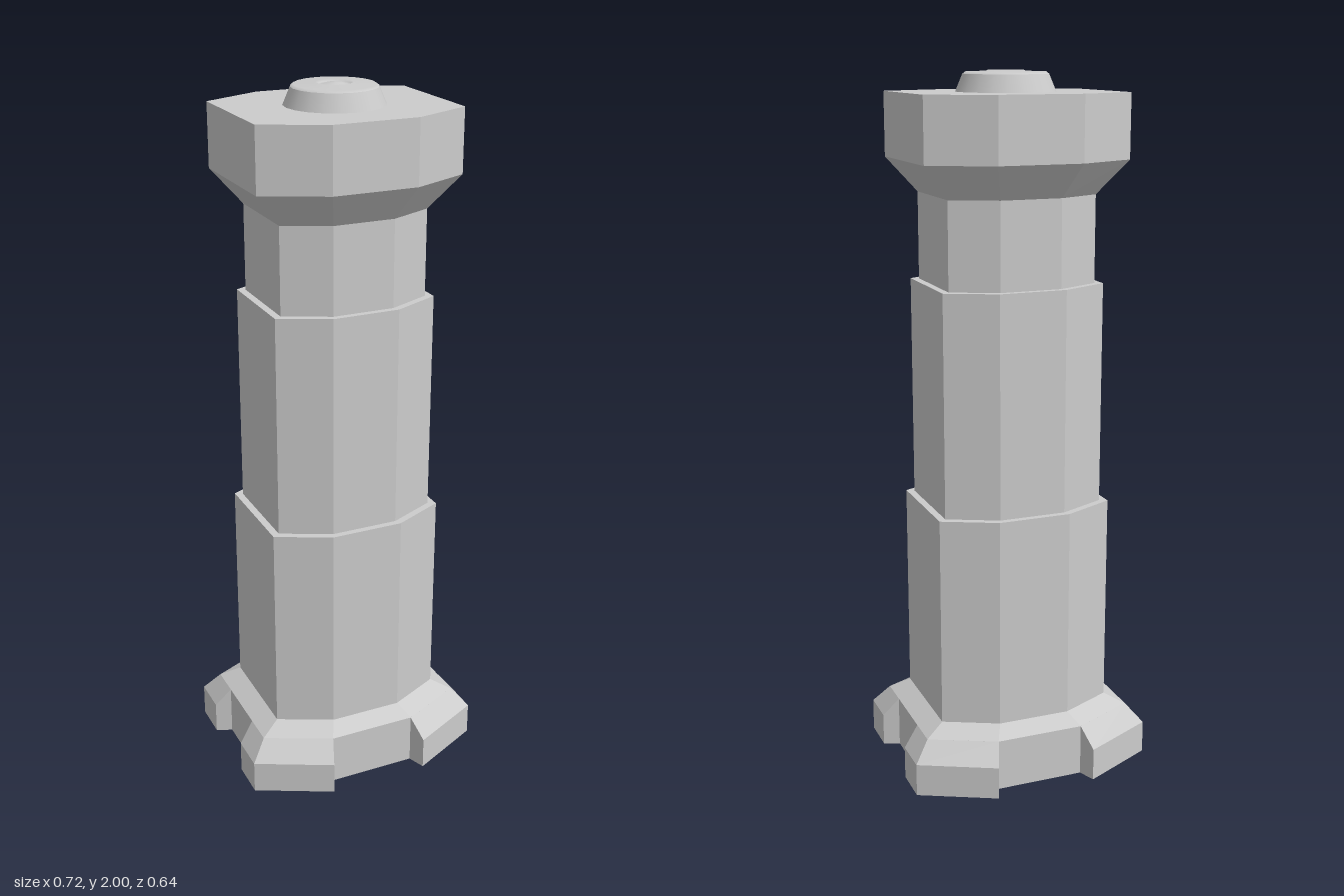
import * as THREE from 'three';

const material = new THREE.MeshStandardMaterial({ color: 0xcccccc, flatShading: true });
const smooth = new THREE.MeshStandardMaterial({ color: 0xcccccc });

// Elongated octagon of half width hx and half depth hz, counter-clockwise from above
function octagon(hx, hz) {
  const cx = hx * 0.41, cz = hz * 0.68;
  return [[-cx, hz], [cx, hz], [hx, cz], [hx, -cz], [cx, -hz], [-cx, -hz], [-hx, -cz], [-hx, cz]];
}

// Closed, faceted solid through rings of [x, z] points at given heights
function loft(name, sections) {
  const pos = [];
  const rings = sections.map(([y, pts]) => pts.map(([x, z]) => new THREE.Vector3(x, y, z)));
  const tri = (a, b, c) => {
    const area = b.clone().sub(a).cross(c.clone().sub(a)).length();
    if (area > 1e-9) pos.push(...a.toArray(), ...b.toArray(), ...c.toArray());
  };
  const n = rings[0].length;
  for (let r = 0; r < rings.length - 1; r++) {
    for (let i = 0; i < n; i++) {
      const j = (i + 1) % n, lo = rings[r], hi = rings[r + 1];
      tri(lo[i], lo[j], hi[j]);
      tri(lo[i], hi[j], hi[i]);
    }
  }
  const bottom = rings[0], top = rings[rings.length - 1];
  for (let i = 1; i < n - 1; i++) {
    tri(bottom[0], bottom[i + 1], bottom[i]);
    tri(top[0], top[i], top[i + 1]);
  }
  const geo = new THREE.BufferGeometry();
  geo.setAttribute('position', new THREE.Float32BufferAttribute(pos, 3));
  geo.computeVertexNormals();
  const mesh = new THREE.Mesh(geo, material);
  mesh.name = name;
  return mesh;
}

// Corner foot of the base, mirrored into the quadrant given by the signs
function foot(sx, sz) {
  const C = [0.313, 0.185], A = [0.128, 0.272], P = [0.147, 0.322];
  const Q = [0.358, 0.219], R = [0.358, 0.109], S = [0.313, 0.091];
  const place = ([c, ...rest]) => {
    if (sx * sz < 0) rest.reverse();
    return [c, ...rest].map(([x, z]) => [x * sx, z * sz]);
  };
  const plan = place([C, A, P, Q, R, S]);
  return loft('baseFoot', [[0, plan], [0.095, plan], [0.15, place([C, A, A, C, S, S])]]);
}

export function createModel() {
  const model = new THREE.Group();

  // Notched base: octagonal core and four corner feet
  const base = new THREE.Group();
  base.name = 'base';
  const core = octagon(0.313, 0.272);
  base.add(loft('baseCore', [[0, core], [0.15, core], [0.18, octagon(0.257, 0.225)]]));
  for (const sx of [1, -1]) for (const sz of [1, -1]) base.add(foot(sx, sz));
  model.add(base);

  // Stepped column
  const steps = [
    ['lowerColumn', 0.18, 0.79, 0.257, 0.225],
    ['middleColumn', 0.79, 1.425, 0.236, 0.206],
    ['upperColumn', 1.425, 1.67, 0.215, 0.188],
  ];
  for (const [name, y0, y1, hx, hz] of steps) {
    model.add(loft(name, [[y0, octagon(hx, hz)], [y1, octagon(hx, hz)]]));
  }

  // Flared head
  const head = octagon(0.294, 0.256);
  model.add(loft('head', [[1.67, octagon(0.215, 0.188)], [1.765, head], [1.943, head]]));

  // Round cap: tapered side, then a smooth top with a small ring and a central dome
  const lathe = (name, pts, mat) => {
    const mesh = new THREE.Mesh(
      new THREE.LatheGeometry(pts.map(([r, y]) => new THREE.Vector2(r, y)), 20), mat);
    mesh.name = name;
    model.add(mesh);
  };
  lathe('capSide', [[0.138, 1.943], [0.118, 1.99]], smooth);
  lathe('capTop', [[0.118, 1.99], [0.11, 1.996], [0.058, 1.994], [0.05, 2], [0.043, 1.995],
    [0.036, 1.993], [0.022, 1.998], [0, 2]], smooth);

  return model;
}
